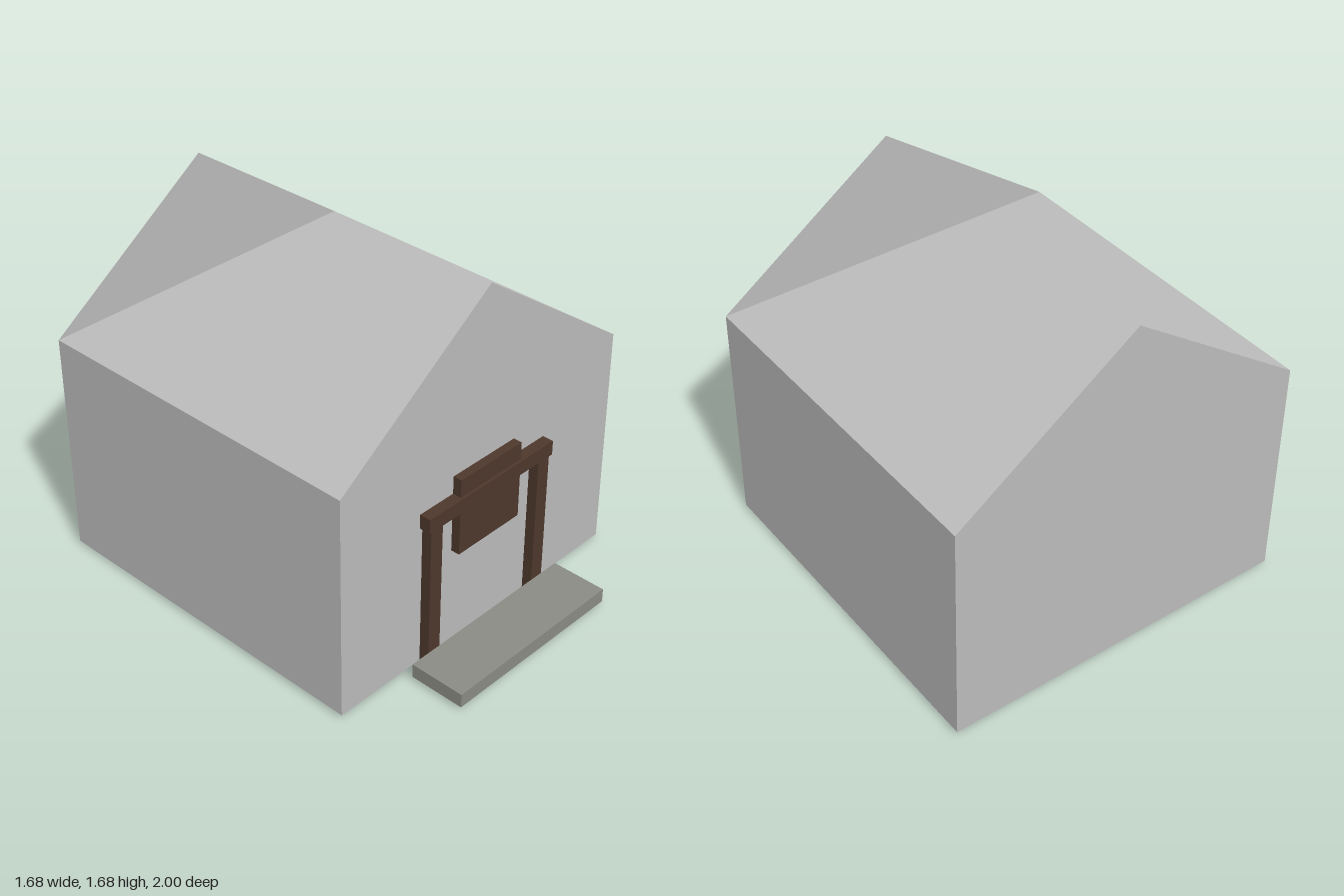
import * as THREE from 'three';

export function createModel() {
  const model = new THREE.Group();
  model.name = 'house';

  const wallGrey = new THREE.MeshStandardMaterial({ color: 0xbcbcbc });
  wallGrey.name = 'wallGrey';
  wallGrey.side = THREE.DoubleSide;
  const darkWood = new THREE.MeshStandardMaterial({ color: 0x4e382c });
  darkWood.name = 'darkWood';
  const stone = new THREE.MeshStandardMaterial({ color: 0x8b8c85 });
  stone.name = 'stone';

  // Box given by its limits on each axis
  function box(name, material, [x0, x1], [y0, y1], [z0, z1]) {
    const mesh = new THREE.Mesh(new THREE.BoxGeometry(x1 - x0, y1 - y0, z1 - z0), material);
    mesh.position.set((x0 + x1) / 2, (y0 + y1) / 2, (z0 + z1) / 2);
    mesh.name = name;
    model.add(mesh);
  }

  // Flat-topped body
  box('body', wallGrey, [-0.84, 0.84], [0.017, 1.092], [-1, 0.682]);

  // Free-standing gable sheets above the front and back walls
  const gable = new THREE.Shape([
    new THREE.Vector2(-0.84, 1.092),
    new THREE.Vector2(0.84, 1.092),
    new THREE.Vector2(0, 1.685),
  ]);
  for (const [name, z, turn] of [['frontGable', 0.682, 0], ['backGable', -1, Math.PI]]) {
    const mesh = new THREE.Mesh(new THREE.ShapeGeometry(gable), wallGrey);
    mesh.position.z = z;
    mesh.rotation.y = turn;
    mesh.name = name;
    model.add(mesh);
  }

  // Door frame: two posts, a lintel and a sign board behind it
  box('leftPost', darkWood, [0.303, 0.372], [0, 0.718], [0.678, 0.731]);
  box('rightPost', darkWood, [-0.372, -0.303], [0, 0.718], [0.678, 0.731]);
  box('lintel', darkWood, [-0.387, 0.387], [0.717, 0.785], [0.678, 0.736]);
  box('signBoard', darkWood, [-0.189, 0.189], [0.497, 0.87], [0.68, 0.724]);

  // Doorstep
  box('doorstep', stone, [-0.47, 0.47], [0.017, 0.084], [0.731, 1]);

  return model;
}
